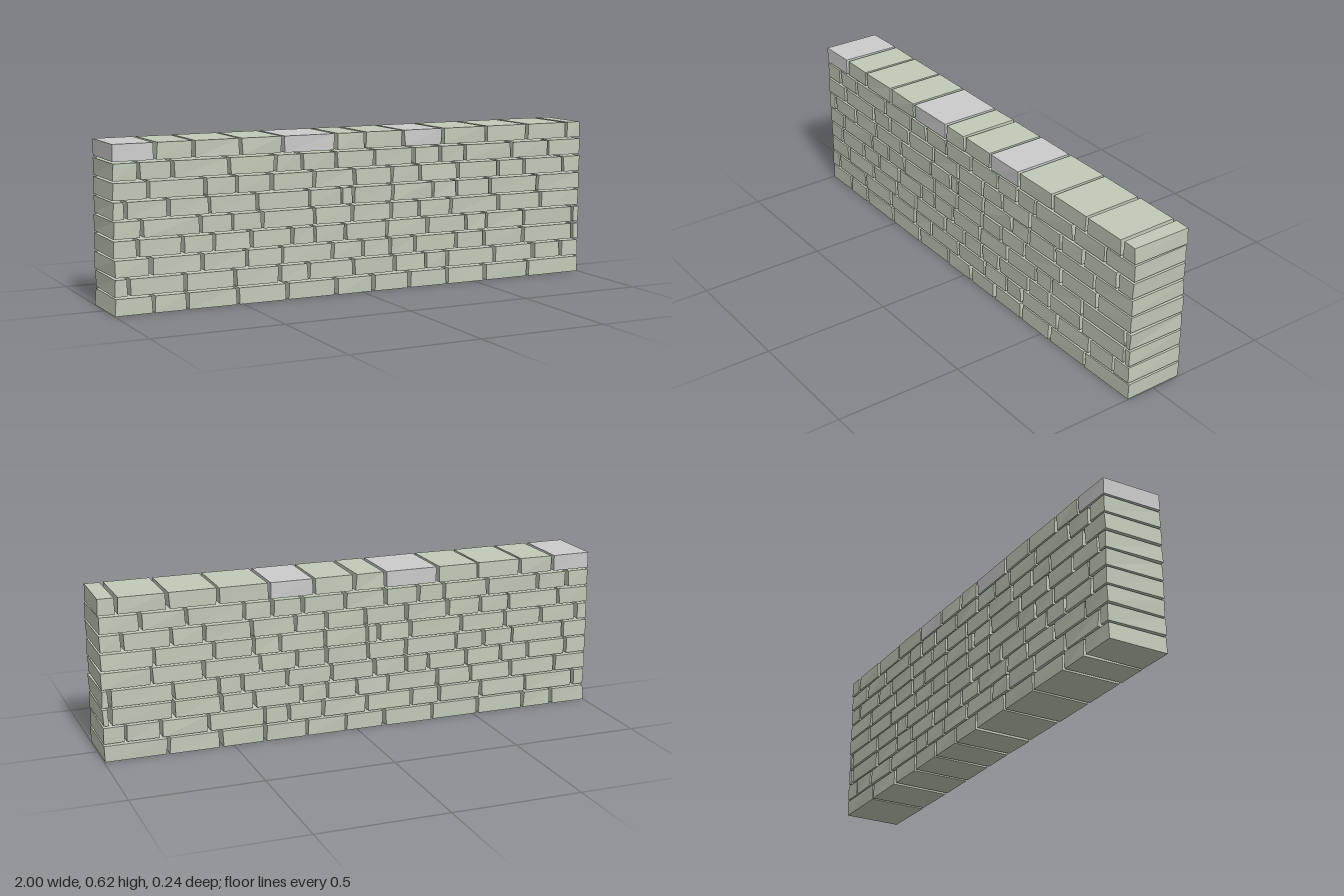
import * as THREE from 'three';

const PITCH = 0.07, HEIGHT = 0.0625, DEPTH = 0.24, GAP = 0.013;

// x positions of the upright joints, bottom course first
const COURSES = [
  [-0.85, -0.72, -0.52, -0.32, -0.115, 0.045, 0.205, 0.375, 0.55, 0.755],
  [-0.945, -0.73, -0.53, -0.35, -0.23, -0.04, 0.14, 0.28, 0.375, 0.595, 0.78, 0.915],
  [-0.86, -0.66, -0.485, -0.34, -0.13, 0, 0.12, 0.23, 0.415, 0.545, 0.73, 0.97],
  [-0.905, -0.735, -0.615, -0.465, -0.3, -0.205, -0.075, 0.105, 0.285, 0.46, 0.555, 0.73, 0.97],
  [-0.89, -0.665, -0.54, -0.42, -0.205, -0.045, 0.125, 0.245, 0.39, 0.61, 0.81],
  [-0.95, -0.79, -0.63, -0.44, -0.225, -0.09, -0.04, 0.13, 0.31, 0.415, 0.57, 0.795],
  [-0.865, -0.645, -0.52, -0.38, -0.205, -0.035, 0.125, 0.25, 0.42, 0.605, 0.73, 0.915],
  [-0.9, -0.77, -0.55, -0.365, -0.255, -0.115, 0.05, 0.22, 0.34, 0.45, 0.67, 0.845],
  [-0.835, -0.69, -0.505, -0.335, -0.115, 0.01, 0.175, 0.35, 0.55, 0.74, 0.93],
];
const GREY_TOP_BRICKS = [0, 4, 7];

// Seeded random numbers from 0 to 1
function makeRandom(seed) {
  return () => {
    seed = (seed * 16807) % 2147483647;
    return seed / 2147483647;
  };
}

// A box whose eight corners are nudged slightly inwards in x and z
function brickGeometry(x0, x1, y, random) {
  const geometry = new THREE.BoxGeometry(x1 - x0, HEIGHT, DEPTH);
  const p = geometry.attributes.position;
  const nudges = Array.from({ length: 8 }, () => [random() * 0.006, random() * 0.004]);
  for (let i = 0; i < p.count; i++) {
    const sx = Math.sign(p.getX(i)), sy = Math.sign(p.getY(i)), sz = Math.sign(p.getZ(i));
    const [dx, dz] = nudges[(sx > 0 ? 1 : 0) + (sy > 0 ? 2 : 0) + (sz > 0 ? 4 : 0)];
    p.setX(i, p.getX(i) - sx * dx);
    p.setZ(i, p.getZ(i) - sz * dz);
  }
  geometry.translate((x0 + x1) / 2, y, 0);
  geometry.computeVertexNormals();
  return geometry;
}

export function createModel() {
  const wall = new THREE.Group();
  wall.name = 'brickWall';
  const random = makeRandom(71);
  const stone = new THREE.MeshStandardMaterial({ color: 0xc1cab8, flatShading: true });
  const grey = new THREE.MeshStandardMaterial({ color: 0xcccccc, flatShading: true });

  // Nine courses of loose-jointed bricks, open gaps between them
  COURSES.forEach((joints, row) => {
    const course = new THREE.Group();
    course.name = `course${row + 1}`;
    const edges = [-1, ...joints, 1];
    for (let i = 0; i < edges.length - 1; i++) {
      const x0 = edges[i] + (i > 0 ? GAP / 2 - 0.003 : 0);
      const x1 = edges[i + 1] - (i < edges.length - 2 ? GAP / 2 - 0.003 : 0);
      const isGrey = row === COURSES.length - 1 && GREY_TOP_BRICKS.includes(i);
      const brick = new THREE.Mesh(
        brickGeometry(x0, x1, row * PITCH + HEIGHT / 2, random), isGrey ? grey : stone);
      brick.name = 'brick';
      course.add(brick);
    }
    wall.add(course);
  });
  return wall;
}
